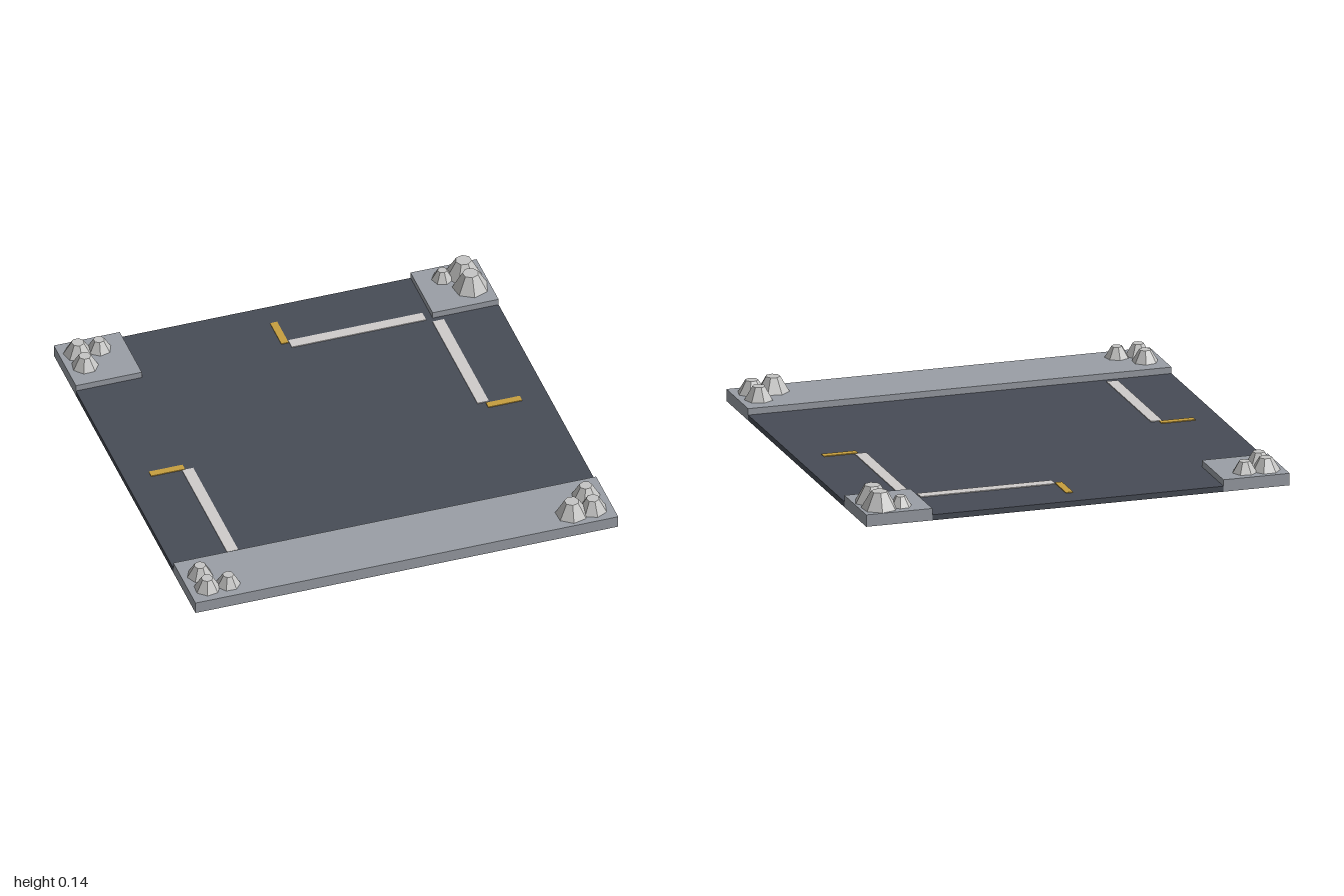
import * as THREE from 'three';

const mat = (name, color, flat = false) => {
  const m = new THREE.MeshStandardMaterial({ color, flatShading: flat });
  m.name = name;
  return m;
};

export function createModel() {
  const group = new THREE.Group();
  const asphalt = mat('asphalt', 0x474c56);
  const concrete = mat('concrete', 0x9a9fa6);
  const whitePaint = mat('white paint', 0xcfcccb);
  const yellowPaint = mat('yellow paint', 0xc79f3e);
  const stone = mat('stone', 0xc6c6c5, true);

  const ROAD = 0.026, KERB = 0.056, INNER = 0.688;

  // Box given by its x, y and z extents
  const slab = (name, material, x0, x1, y0, y1, z0, z1) => {
    const mesh = new THREE.Mesh(new THREE.BoxGeometry(x1 - x0, y1 - y0, z1 - z0), material);
    mesh.position.set((x0 + x1) / 2, (y0 + y1) / 2, (z0 + z1) / 2);
    mesh.name = name;
    group.add(mesh);
  };

  // T-shaped road: cross street and the branch to the back
  const outline = new THREE.Shape([
    [-1, -INNER], [1, -INNER], [1, INNER], [INNER, INNER],
    [INNER, 1], [-INNER, 1], [-INNER, INNER], [-1, INNER],
  ].map(([x, y]) => new THREE.Vector2(x, y)));
  const road = new THREE.Mesh(
    new THREE.ExtrudeGeometry(outline, { depth: ROAD, bevelEnabled: false }), asphalt);
  road.rotation.x = -Math.PI / 2;
  road.name = 'road';
  group.add(road);

  // Pavements
  slab('frontPavement', concrete, -1, 1, 0, KERB, INNER, 1);
  slab('backRightPavement', concrete, -1, -INNER, 0, KERB, -1, -INNER);
  slab('backLeftPavement', concrete, INNER, 1, 0, KERB, -1, -INNER);

  // Painted markings: x0, x1, z0, z1
  const paint = (name, material, rects) => rects.forEach(([x0, x1, z0, z1]) =>
    slab(name, material, x0, x1, ROAD, ROAD + 0.004, z0, z1));
  paint('stopLine', whitePaint, [
    [0.02, 0.655, -0.735, -0.682],
    [0.678, 0.732, -0.66, 0.025 - 0.05],
    [-0.735, -0.682, 0.02, 0.655],
  ]);
  paint('laneLine', yellowPaint, [
    [-0.017, 0.017, -0.88, -0.72],
    [-0.88, -0.72, -0.017, 0.017],
    [0.715, 0.875, -0.017, 0.017],
  ]);

  // Faceted rocks on the corners: x, z, radius, height
  const rocks = [
    [-0.915, -0.915, 0.066, 0.06], [-0.815, -0.915, 0.057, 0.052], [-0.915, -0.815, 0.062, 0.057],
    [0.91, -0.915, 0.083, 0.079], [0.81, -0.915, 0.05, 0.047], [0.91, -0.815, 0.083, 0.079],
    [-0.915, 0.91, 0.06, 0.056], [-0.815, 0.91, 0.056, 0.052], [-0.915, 0.81, 0.06, 0.056],
    [0.91, 0.91, 0.066, 0.062], [0.81, 0.91, 0.075, 0.07], [0.91, 0.81, 0.066, 0.062],
  ];
  rocks.forEach(([x, z, r, h], i) => {
    const rock = new THREE.Mesh(new THREE.CylinderGeometry(r * 0.45, r, h, 7), stone);
    rock.position.set(x, KERB + h / 2, z);
    rock.rotation.y = i * 0.7;
    rock.name = 'rock';
    group.add(rock);
  });

  return group;
}
